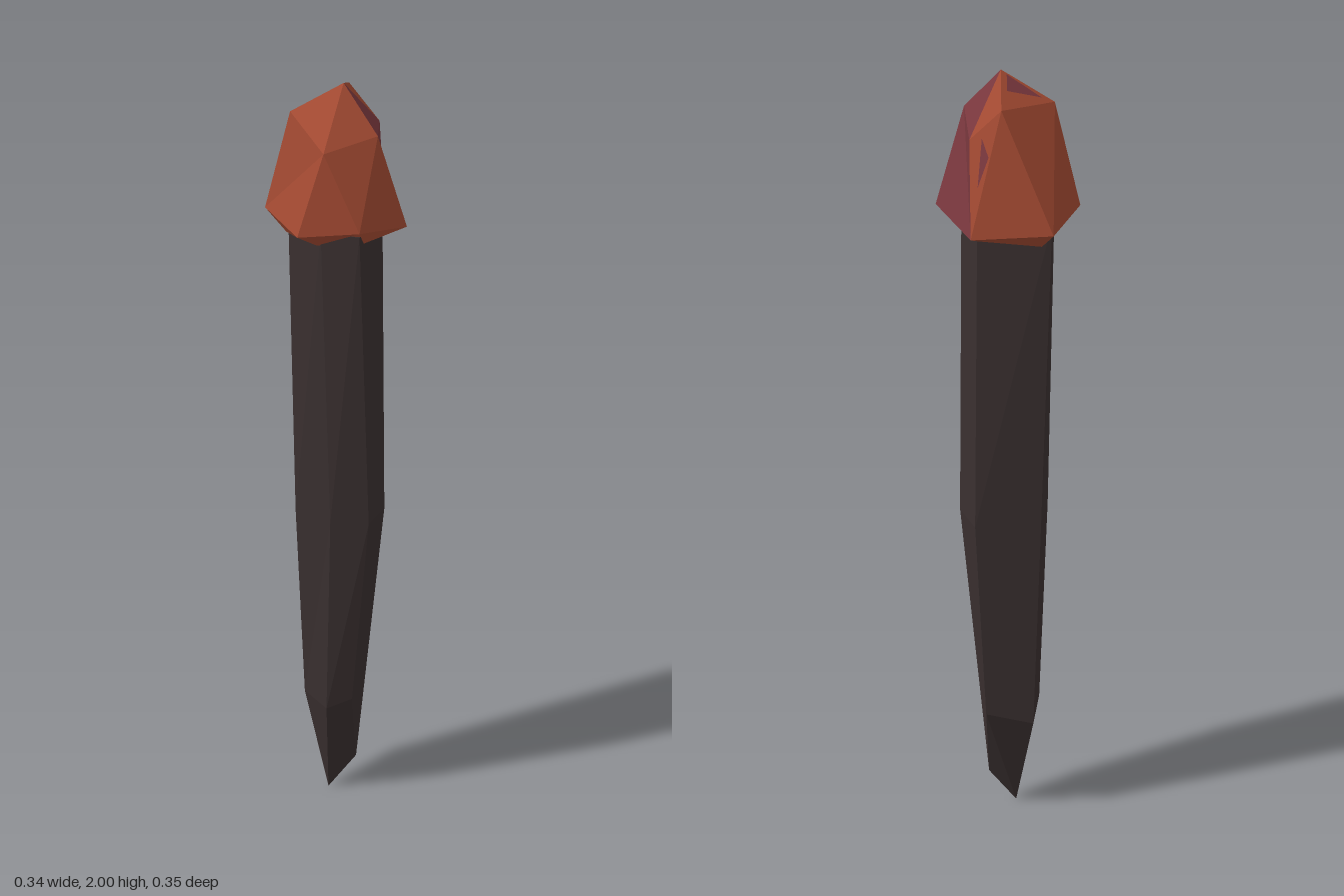
import * as THREE from 'three';

const flat = (color, name) => {
  const m = new THREE.MeshStandardMaterial({ color, flatShading: true });
  m.name = name;
  return m;
};

// Mesh from triangles, each a list of three [x, y, z] corners
function facets(name, tris, material) {
  const g = new THREE.BufferGeometry();
  g.setAttribute('position', new THREE.Float32BufferAttribute(tris.flat(2), 3));
  g.computeVertexNormals();
  const mesh = new THREE.Mesh(g, material);
  mesh.name = name;
  return mesh;
}

// Side faces between two loops, the lower one first, counter-clockwise from above
function band(low, high) {
  return low.flatMap((a, i) => {
    const j = (i + 1) % low.length;
    return [[a, low[j], high[j]], [a, high[j], high[i]]];
  });
}

// Fan closing a loop to a point; down flips it to face below
function fan(loop, tip, down) {
  return loop.map((a, i) => {
    const b = loop[(i + 1) % loop.length];
    return down ? [b, a, tip] : [a, b, tip];
  });
}

// Point inside a triangle, lifted slightly off its face
function onFace([a, b, c], u, v, lift = 0.002) {
  const [A, B, C] = [a, b, c].map(p => new THREE.Vector3(...p));
  const e = B.clone().sub(A), f = C.clone().sub(A);
  const n = e.clone().cross(f).normalize();
  return A.addScaledVector(e, u).addScaledVector(f, v).addScaledVector(n, lift).toArray();
}

export function createModel() {
  const group = new THREE.Group();
  const charcoal = flat(0x3a3030, 'charcoal');
  const rust = flat(0xa34a32, 'rust');
  const maroon = flat(0x7a383e, 'maroon');

  // Shaft: three uneven hexagonal sections closing to a point
  const top = [[0.105, 1.64, 0.105], [0.105, 1.64, -0.02], [0.035, 1.64, -0.11],
    [-0.14, 1.64, -0.06], [-0.1, 1.64, 0.08], [0.01, 1.64, 0.125]];
  const mid = [[0.105, 0.8, 0.055], [0.105, 0.8, -0.03], [0.04, 0.8, -0.11],
    [-0.108, 0.8, -0.05], [-0.085, 0.8, 0.07], [0.02, 0.8, 0.093]];
  const low = [[0.05, 0.28, 0.035], [0.036, 0.09, -0.015], [0.02, 0.28, -0.085],
    [-0.085, 0.25, -0.04], [-0.07, 0.28, 0.05], [0, 0.26, 0.073]];
  group.add(facets('shaft', [
    ...band(mid, top), ...band(low, mid),
    ...fan(low, [-0.022, 0.005, 0.018], true), ...fan(top, [0, 1.64, 0], false),
  ], charcoal));

  // Head: wide rim, crown corners and peak
  const C = [0.105, 1.65, 0.105], B = [0.17, 1.62, -0.022], A = [0.03, 1.62, -0.175];
  const F = [-0.16, 1.63, -0.11], E = [-0.17, 1.63, 0.065], D = [-0.03, 1.64, 0.172];
  const m = [0.015, 1.86, 0.12], r = [0.11, 1.88, 0.015], q = [0.06, 1.85, -0.095];
  const b = [-0.02, 1.94, -0.09], l = [-0.11, 1.91, 0.05], p = [0.013, 2, 0.006];
  const under = [[0.1, 1.61, 0.09], [0.11, 1.61, -0.03], [0.03, 1.59, -0.12],
    [-0.12, 1.58, -0.08], [-0.11, 1.58, 0.07], [0, 1.6, 0.125]];
  const leftTop = [b, l, p], backSide = [A, q, b];
  group.add(facets('head', [
    [C, B, r], [C, r, m], backSide, [A, b, F], [F, b, l], [F, l, E],
    [E, m, l], [E, D, m], [D, C, m],
    [m, r, p], [q, p, b].slice().sort((s, t) => (s === q ? -1 : t === q ? 1 : s === b ? -1 : 1)),
    leftTop, [l, m, p],
    ...band(under, [C, B, A, F, E, D]), ...fan(under, [0, 1.59, 0], true),
  ].map(outward), rust));

  // Darker facets on the left flank
  group.add(facets('darkFacets', [[B, A, r], [A, q, r], [r, q, p]].map(outward), maroon));

  // Small dark patches lying on the crown and back faces
  const patch = (name, tri, spots) => {
    const t = outward(tri);
    group.add(facets(name, [outward(spots.map(([u, v]) => onFace(t, u, v)))], maroon));
  };
  patch('crownPatch', leftTop, [[0.75, 0.15], [0.1, 0.45], [0.1, 0.85]]);
  patch('backPatch', backSide, [[0.25, 0.2], [0.6, 0.05], [0.4, 0.5]]);
  return group;
}

// Orders a head facet so that it faces away from the middle of the head
function outward([a, b, c]) {
  const [A, B, C] = [a, b, c].map(v => new THREE.Vector3(...v));
  const n = B.clone().sub(A).cross(C.clone().sub(A));
  return n.dot(A.add(B).add(C).divideScalar(3).sub(new THREE.Vector3(0, 1.74, 0))) < 0 ? [a, c, b] : [a, b, c];
}
